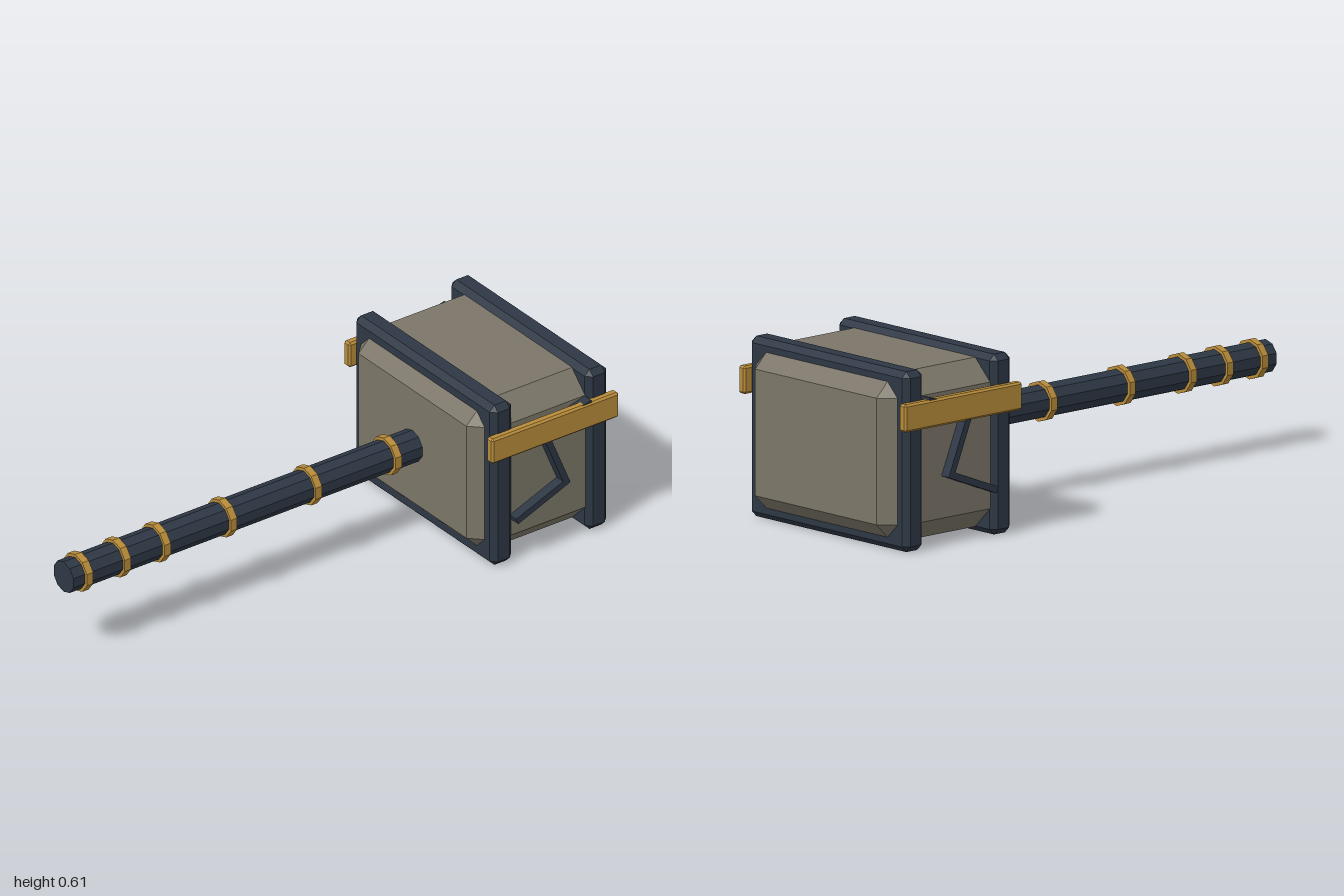
import * as THREE from 'three';
import { ConvexGeometry } from 'three/addons/geometries/ConvexGeometry.js';

const material = (name, color) => {
  const m = new THREE.MeshStandardMaterial({ color, flatShading: true });
  m.name = name;
  return m;
};

// Box with every edge cut at 45 degrees
function chamferBox(w, h, d, c) {
  const pts = [];
  const x = w / 2, y = h / 2, z = d / 2;
  for (const a of [-1, 1]) for (const b of [-1, 1]) for (const e of [-1, 1]) {
    pts.push(
      new THREE.Vector3(a * x, b * (y - c), e * (z - c)),
      new THREE.Vector3(a * (x - c), b * y, e * (z - c)),
      new THREE.Vector3(a * (x - c), b * (y - c), e * z));
  }
  return new ConvexGeometry(pts);
}

export function createModel() {
  const stone = material('stone', 0x7b7668);
  const iron = material('dark iron', 0x2d3744);
  const gold = material('gold', 0xb88c3a);
  const model = new THREE.Group();
  model.name = 'hammer';

  const add = (name, geometry, mat, x, y, z, parent = model) => {
    const mesh = new THREE.Mesh(geometry, mat);
    mesh.name = name;
    mesh.position.set(x, y, z);
    parent.add(mesh);
    return mesh;
  };

  const midY = 0.305;

  // Stone head and its two iron bands
  add('head', chamferBox(0.57, 0.57, 0.735, 0.072), stone, 0.715, midY, 0);
  for (const x of [0.517, 0.907]) {
    add('headBand', chamferBox(0.088, 0.607, 0.77, 0.02), iron, x, midY, 0);
  }

  // Handle lying along x, with gold rings
  const rod = (radius, length) =>
    new THREE.CylinderGeometry(radius, radius, length, 10).rotateZ(Math.PI / 2)
      .rotateX(Math.PI / 2);
  add('handle', rod(0.057, 1.5), iron, -0.25, midY + 0.003, 0);
  for (const x of [-0.94, -0.785, -0.622, -0.35, -0.002, 0.325]) {
    add('handleRing', rod(0.068, 0.026), gold, x, midY + 0.003, 0);
  }

  // Gold plate and bent iron strip on both sides of the head
  const path = [[0.855, 0.503], [0.673, 0.455], [0.762, 0.241], [0.568, 0.164]];
  for (const side of [1, -1]) {
    const group = new THREE.Group();
    group.name = side > 0 ? 'frontTrim' : 'backTrim';
    model.add(group);
    add('plate', chamferBox(0.522, 0.094, 0.033, 0.007), gold, 0.713, 0.462, side * 0.3915, group);
    for (let i = 0; i < path.length - 1; i++) {
      const [x0, y0] = path[i], [x1, y1] = path[i + 1];
      const length = Math.hypot(x1 - x0, y1 - y0);
      const strip = add('boltStrip', new THREE.BoxGeometry(length + 0.02, 0.023, 0.045), iron,
        (x0 + x1) / 2, (y0 + y1) / 2, side * 0.3805, group);
      strip.rotation.z = Math.atan2(y1 - y0, x1 - x0);
    }
  }
  return model;
}
